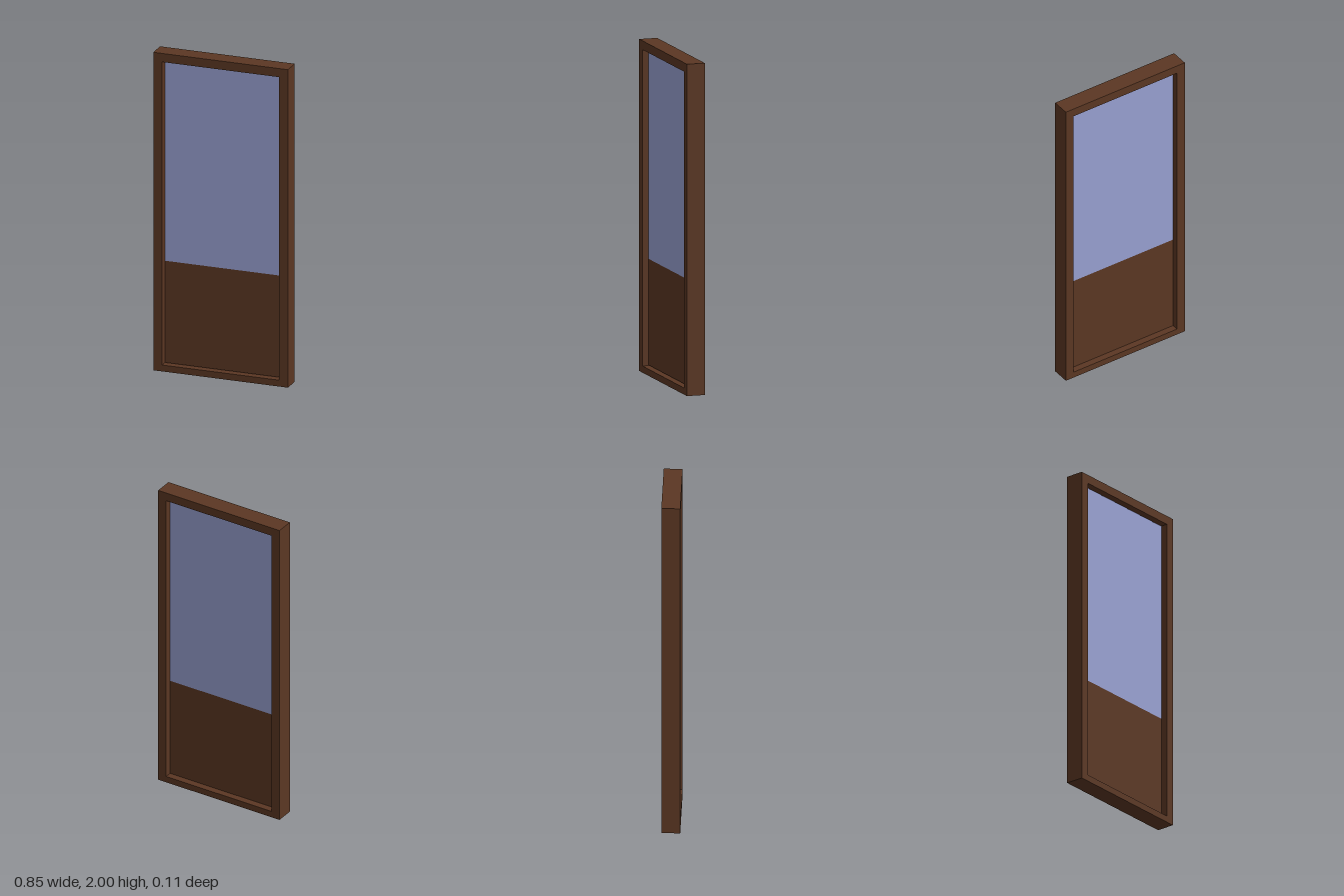
import * as THREE from 'three';

const wood = new THREE.MeshStandardMaterial({ color: 0x5b3723 });
wood.name = 'brownWood';
const glass = new THREE.MeshStandardMaterial({ color: 0x99a1d2 });
glass.name = 'blueGlass';

const W = 0.427, H = 2, D = 0.112;           // frame half width, height, depth
const IN = 0.371, Y0 = 0.04, Y1 = 1.946;     // opening
const GAP = 0.004, SPLIT = 0.684, T = 0.037; // leaf clearance, glass sill, leaf thickness

function rectangle(PathType, halfW, y0, y1) {
  const p = new PathType();
  p.moveTo(-halfW, y0);
  p.lineTo(halfW, y0);
  p.lineTo(halfW, y1);
  p.lineTo(-halfW, y1);
  p.closePath();
  return p;
}

// A board filling the opening between two heights, centred in the frame depth
function panel(name, y0, y1, material) {
  const mesh = new THREE.Mesh(new THREE.BoxGeometry(2 * (IN - GAP), y1 - y0, T), material);
  mesh.name = name;
  mesh.position.y = (y0 + y1) / 2;
  return mesh;
}

export function createModel() {
  const model = new THREE.Group();
  model.name = 'glazedDoor';

  // Surrounding frame with sill, jambs and head in one piece
  const outline = rectangle(THREE.Shape, W, 0, H);
  outline.holes.push(rectangle(THREE.Path, IN, Y0, Y1));
  const frameGeometry = new THREE.ExtrudeGeometry(outline, { depth: D, bevelEnabled: false });
  frameGeometry.translate(0, 0, -D / 2);
  const frame = new THREE.Mesh(frameGeometry, wood);
  frame.name = 'doorFrame';
  model.add(frame);

  // Door leaf: solid lower board and large pane above
  const leaf = new THREE.Group();
  leaf.name = 'doorLeaf';
  leaf.add(panel('lowerPanel', Y0 + GAP, SPLIT, wood));
  leaf.add(panel('windowPane', SPLIT, Y1 - GAP, glass));
  model.add(leaf);

  return model;
}
